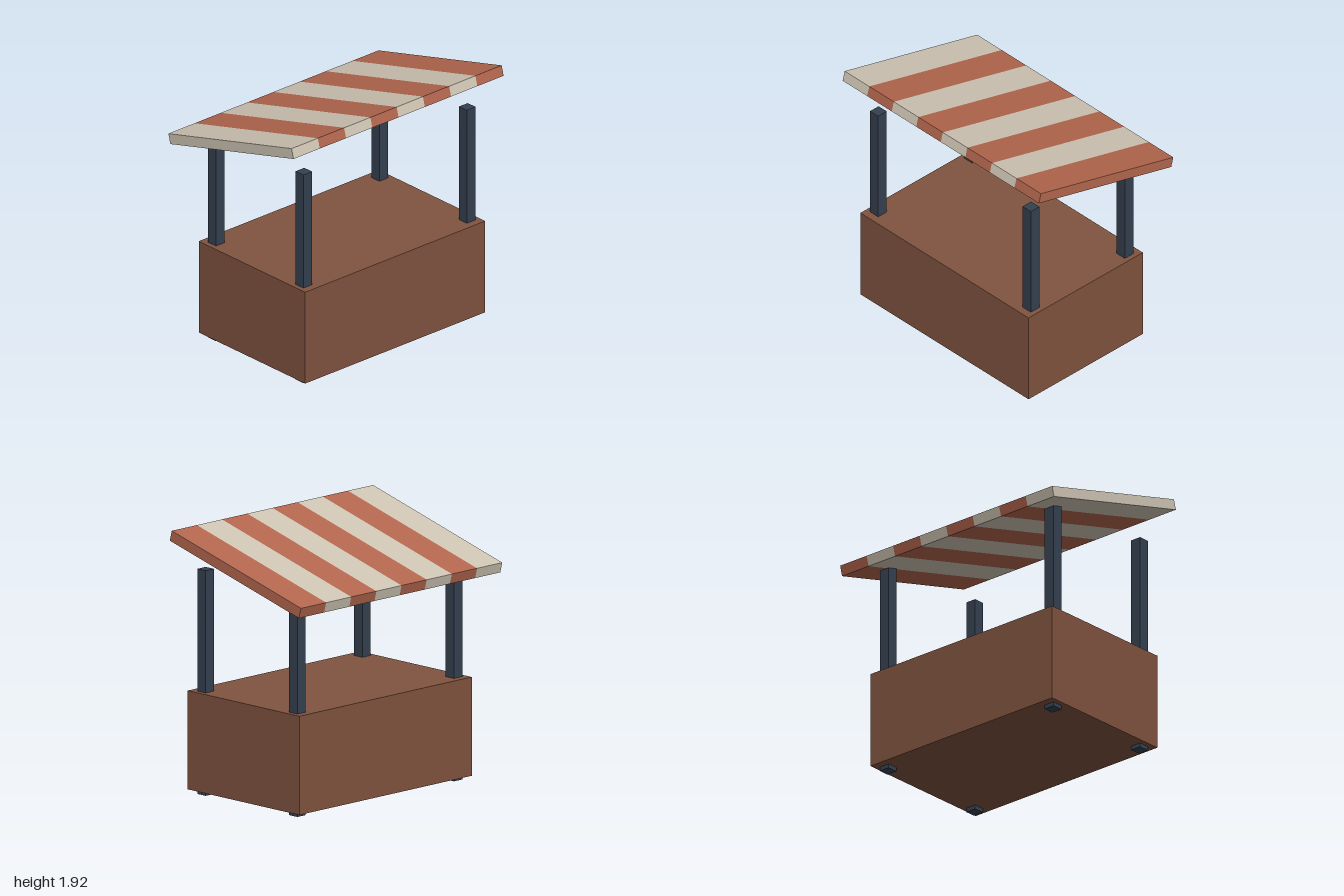
import * as THREE from 'three';

const material = (name, color) => {
  const m = new THREE.MeshStandardMaterial({ color });
  m.name = name;
  return m;
};

function box(name, size, position, mat) {
  const mesh = new THREE.Mesh(new THREE.BoxGeometry(...size), mat);
  mesh.name = name;
  mesh.position.set(...position);
  return mesh;
}

export function createModel() {
  const wood = material('brown wood', 0x80533f);
  const slate = material('dark slate', 0x354050);
  const cream = material('cream canvas', 0xcfc5b4);
  const red = material('brick red canvas', 0xb3664e);

  const stall = new THREE.Group();
  stall.name = 'marketStall';

  // Solid counter, raised slightly off the ground
  stall.add(box('counter', [1.714, 0.715, 1.115], [0, 0.3875, 0.0625], wood));

  // Four equal posts running through the counter
  const postHeight = 1.63;
  for (const [end, z] of [['front', 0.52], ['back', -0.397]]) {
    for (const [side, x] of [['Left', 0.778], ['Right', -0.778]]) {
      stall.add(box(`${end}${side}Post`, [0.083, postHeight, 0.083], [x, postHeight / 2, z], slate));
    }
  }

  // Striped awning, tilted up toward the front
  const awning = new THREE.Group();
  awning.name = 'awning';
  awning.position.y = 1.7125;
  awning.rotation.x = -THREE.MathUtils.degToRad(15);
  const stripes = 8;
  const width = 2 / stripes;
  for (let i = 0; i < stripes; i++) {
    const x = -1 + width * (i + 0.5);
    awning.add(box(`awningStripe${i + 1}`, [width, 0.077, 1.337], [x, 0, 0], i % 2 ? red : cream));
  }
  stall.add(awning);

  return stall;
}
